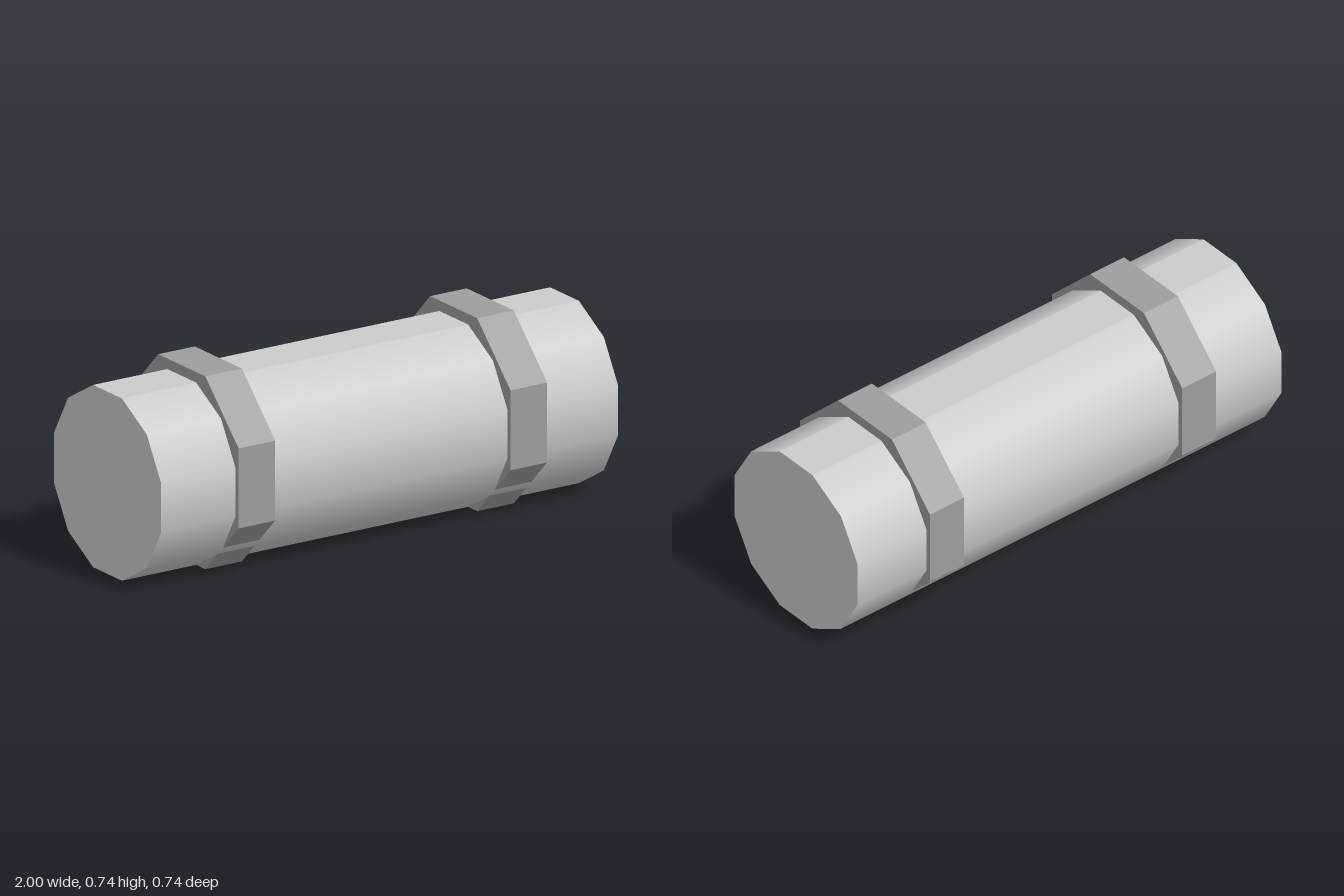
import * as THREE from 'three';

const deg = THREE.MathUtils.degToRad;

export function createModel() {
  const model = new THREE.Group();
  const bodyMat = new THREE.MeshStandardMaterial({ color: 0xcccccc });
  const bodyFlat = new THREE.MeshStandardMaterial({ color: 0xcccccc, flatShading: true });
  const bandMat = new THREE.MeshStandardMaterial({ color: 0x9d9d9d, flatShading: true });

  // Twelve-sided body lying along x
  const r = 0.361, cy = 0.349;
  const body = new THREE.Group();
  body.name = 'body';
  body.position.y = cy;
  model.add(body);
  const add = (name, geo, mat) => {
    const mesh = new THREE.Mesh(geo, mat);
    mesh.name = name;
    body.add(mesh);
  };
  const wall = (start, segments) =>
    new THREE.CylinderGeometry(r, r, 2, segments, 1, true, deg(start), deg(30 * segments)).rotateZ(-Math.PI / 2);

  // Rounded front and back, flat top and bottom strips
  add('bodyFront', wall(-75, 5), bodyMat);
  add('bodyBack', wall(105, 5), bodyMat);
  add('bodyTop', wall(-105, 1), bodyFlat);
  add('bodyBottom', wall(75, 1), bodyFlat);

  // End caps
  for (const s of [1, -1]) {
    const cap = new THREE.CircleGeometry(r, 12, deg(15)).rotateY(s * Math.PI / 2).translate(s, 0, 0);
    add(s > 0 ? 'leftEnd' : 'rightEnd', cap, bodyFlat);
  }

  // Octagonal bands around the body
  const apothem = 0.369;
  const bandR = apothem / Math.cos(Math.PI / 8);
  for (const s of [1, -1]) {
    const geo = new THREE.CylinderGeometry(bandR, bandR, 0.16, 8, 1, false, Math.PI / 8).rotateZ(-Math.PI / 2);
    const band = new THREE.Mesh(geo, bandMat);
    band.name = s > 0 ? 'leftBand' : 'rightBand';
    band.position.set(s * 0.595, apothem, 0);
    model.add(band);
  }
  return model;
}
